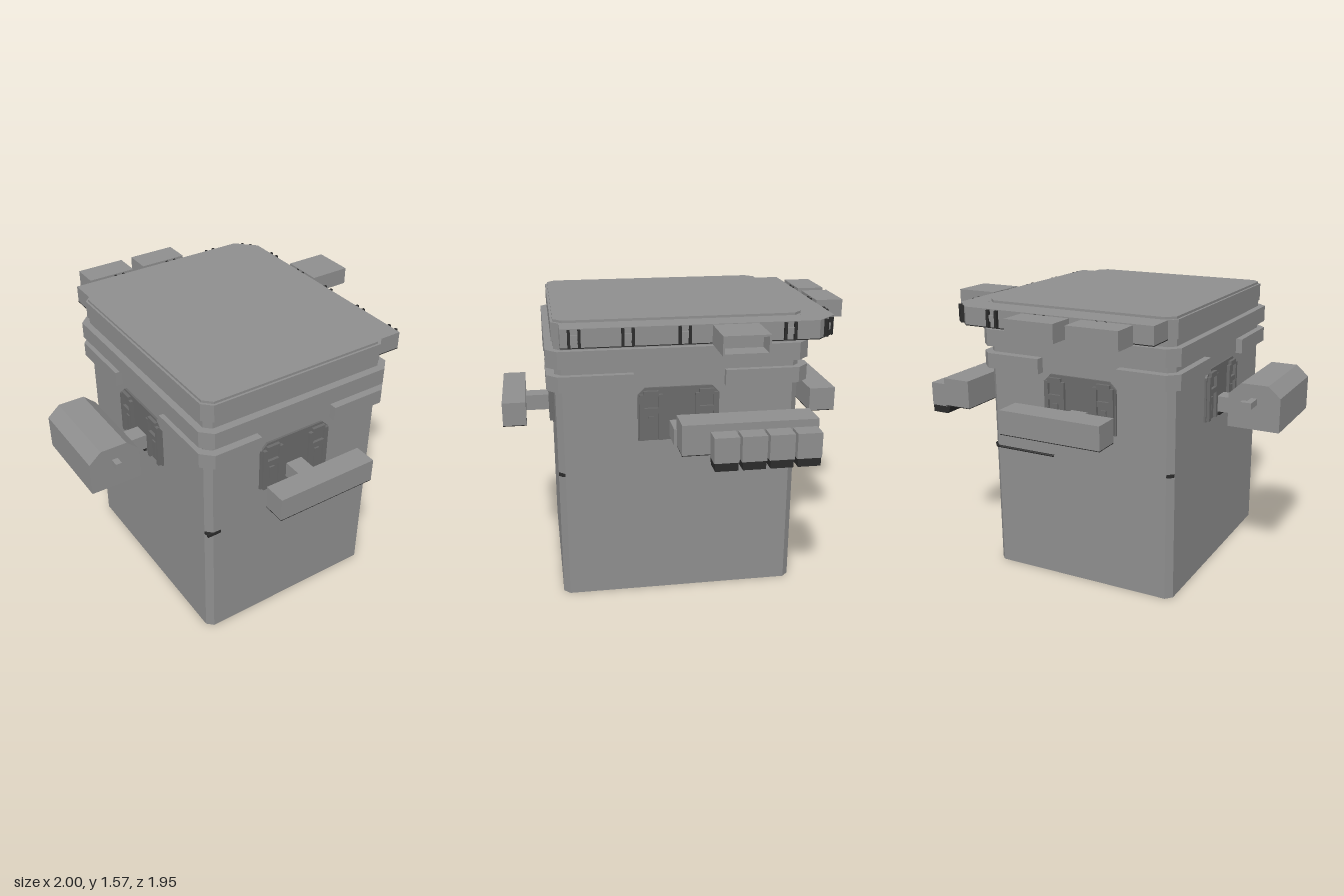
import * as THREE from 'three';

const material = (name, color) => {
  const m = new THREE.MeshStandardMaterial({ color, flatShading: true });
  m.name = name;
  return m;
};
const grey = material('grey', 0x8e8e8e);
const darkGrey = material('dark grey', 0x6a6a6a);
const black = material('black', 0x2a2a2a);

export function createModel() {
  const root = new THREE.Group();
  root.name = 'container';

  const add = (name, geo, mat = grey, parent = root) => {
    const m = new THREE.Mesh(geo, mat);
    m.name = name;
    parent.add(m);
    return m;
  };
  // Box given by its limits on each axis
  const box = (name, x0, x1, y0, y1, z0, z1, parent = root, mat = grey) => {
    const m = add(name, new THREE.BoxGeometry(x1 - x0, y1 - y0, z1 - z0), mat, parent);
    m.position.set((x0 + x1) / 2, (y0 + y1) / 2, (z0 + z1) / 2);
    return m;
  };
  // Chamfered rectangle outline in plan, as [x, z] points
  const outline = (x0, x1, z0, z1, c) => [
    [x0 + c, z0], [x1 - c, z0], [x1, z0 + c], [x1, z1 - c],
    [x1 - c, z1], [x0 + c, z1], [x0, z1 - c], [x0, z0 + c]];
  const path = (pts) => pts.map(([x, z]) => new THREE.Vector2(x, -z));
  // Plan outline raised from y0 to y1, optionally with a hole
  const slab = (name, pts, y0, y1, hole, mat = grey) => {
    const s = new THREE.Shape(path(pts));
    if (hole) s.holes.push(new THREE.Path(path(hole).reverse()));
    const g = new THREE.ExtrudeGeometry(s, { depth: y1 - y0, bevelEnabled: false });
    g.rotateX(-Math.PI / 2).translate(0, y0, 0);
    return add(name, g, mat);
  };
  // Upright profile in x and y, pushed along z
  const prism = (name, pts, depth, mat, parent) => {
    const s = new THREE.Shape(pts.map(([x, y]) => new THREE.Vector2(x, y)));
    return add(name, new THREE.ExtrudeGeometry(s, { depth, bevelEnabled: false }), mat, parent);
  };

  // Hollow bin, open below
  const wall = outline(-0.55, 0.58, -0.63, 0.68, 0.035);
  slab('binWall', wall, 0, 1.5, outline(-0.545, 0.575, -0.625, 0.675, 0.033));

  // Bands around the rim
  slab('upperBand', outline(-0.588, 0.615, -0.68, 0.725, 0.06), 1.325, 1.42, wall);

  // Lower band, one wrap for each corner: outer, wall and chamfer limits
  for (const [xo, xw, xe, sx] of [[-0.588, -0.55, -0.245, -1], [0.615, 0.58, 0.23, 1]]) {
    for (const [zo, zw, ze, sz] of [[-0.68, -0.63, -0.22, -1], [0.725, 0.68, 0.27, 1]]) {
      slab('cornerBand', [[xe, zo], [xo - sx * 0.06, zo], [xo, zo - sz * 0.06], [xo, ze],
        [xw, ze], [xw, zw - sz * 0.035], [xw - sx * 0.035, zw], [xe, zw]], 1.2, 1.285);
    }
  }

  // Lid with a slightly inset top plate
  slab('lid', outline(-0.56, 0.59, -0.65, 0.69, 0.05), 1.46, 1.56);
  slab('lidTop', outline(-0.548, 0.575, -0.638, 0.678, 0.045), 1.56, 1.573);

  // L-shaped ledge along the back and one side, dark underneath
  const ledge = [[-0.52, -0.8], [0.6, -0.8], [0.71, -0.69], [0.71, 0.65],
    [0.57, 0.65], [0.57, -0.63], [-0.52, -0.63]];
  slab('ledge', ledge, 1.463, 1.56);
  slab('ledgeUnderside', ledge, 1.458, 1.463, null, black);

  // Small H-shaped clips on the ledge
  const clip = (x, z, angle) => {
    const g = new THREE.Group();
    g.name = 'ledgeClip';
    for (const s of [-1, 1]) box('clipBar', s * 0.026 - 0.007, s * 0.026 + 0.007, 1.465, 1.557, -0.005, 0.02, g, black);
    box('clipBridge', -0.02, 0.02, 1.495, 1.53, -0.005, 0.012, g);
    g.position.set(x, 0, z);
    g.rotation.y = angle;
    root.add(g);
  };
  [-0.53, -0.25, 0.02, 0.31, 0.58].forEach((z) => clip(0.71, z, Math.PI / 2));
  [-0.23, 0.13, 0.42].forEach((x) => clip(x, -0.8, Math.PI));
  clip(0.655, -0.745, Math.PI * 0.75);

  // Boxes carried by the ledge
  box('backLedgeBox', -0.42, -0.13, 1.46, 1.56, -0.98, -0.825);
  box('backLedgeBox', -0.06, 0.225, 1.46, 1.56, -0.98, -0.825);
  box('sideLedgeBoxBase', 0.725, 0.86, 1.46, 1.56, -0.36, -0.12);
  box('sideLedgeBoxFloor', 0.86, 0.97, 1.46, 1.47, -0.36, -0.12);
  box('sideLedgeBoxTop', 0.86, 0.97, 1.55, 1.56, -0.36, -0.12);
  for (const z of [-0.36, -0.13]) box('sideLedgeBoxCheek', 0.86, 0.97, 1.47, 1.55, z, z + 0.01);

  // Mounting panel with two latches, repeated on every wall
  const mount = (x, z, angle) => {
    const g = new THREE.Group();
    g.name = 'mountingPanel';
    prism('panelPlate', [[-0.22, 0.905], [0.22, 0.905], [0.22, 1.16], [0.18, 1.2],
      [-0.18, 1.2], [-0.22, 1.16]], 0.012, darkGrey, g);
    for (const c of [-0.15, 0.15]) {
      for (const e of [-1, 1]) box('latchRail', c + e * 0.05 - 0.012, c + e * 0.05 + 0.012, 0.91, 1.165, 0, 0.03, g, darkGrey);
      box('latchHead', c - 0.04, c + 0.04, 1.155, 1.185, 0, 0.03, g, darkGrey);
      box('latchBridge', c - 0.04, c + 0.04, 1.06, 1.09, 0, 0.028, g, darkGrey);
      box('latchTongue', c - 0.015, c + 0.015, 0.93, 1.04, 0, 0.022, g, darkGrey);
    }
    box('panelFoot', -0.04, 0.04, 0.9, 0.915, 0, 0.025, g, black);
    // Arm reaching out to the attachment
    box('arm', -0.05, 0.05, 0.925, 1.015, 0.005, 0.165, g);
    g.position.set(x, 0, z);
    g.rotation.y = angle;
    root.add(g);
  };
  mount(-0.005, 0.68, 0);
  mount(-0.005, -0.63, Math.PI);
  mount(0.58, 0.03, Math.PI / 2);
  mount(-0.55, 0.01, -Math.PI / 2);

  // Front and back bars, dark underneath
  for (const [name, z0, z1] of [['frontBar', 0.84, 0.97], ['backBar', -0.94, -0.79]]) {
    box(name, -0.29, 0.31, 0.928, 1.06, z0, z1);
    box(name + 'Underside', -0.29, 0.31, 0.924, 0.928, z0, z1, root, black);
  }

  // Side rack with a row of four holders on dark feet
  box('rack', 0.73, 0.9, 0.928, 1.09, -0.65, 0.065);
  box('rackUnderside', 0.73, 0.9, 0.924, 0.928, -0.65, 0.065, root, black);
  for (let i = 0; i < 4; i++) {
    const z = -0.64 + i * 0.143;
    box('holder', 0.9, 1, 0.915, 1.05, z, z + 0.13);
    const foot = prism('holderFoot', [[0.88, 0.915], [0.89, 0.885], [0.9, 0.872], [1, 0.872], [1, 0.915]], 0.12, black);
    foot.position.z = z + 0.005;
  }

  // Roll housing with a chamfered top, and its crank
  const housing = prism('rollHousing', [[-1, 0.925], [-0.71, 0.925], [-0.71, 1.11], [-0.78, 1.175],
    [-0.93, 1.175], [-1, 1.115]], 0.515);
  housing.position.z = -0.26;
  box('axleEnd', -0.872, -0.838, 1.065, 1.1, 0.25, 0.305);
  box('crankStem', -0.872, -0.838, 1.065, 1.1, -0.35, -0.255);
  box('crankHandle', -0.872, -0.81, 1.065, 1.1, -0.355, -0.32);

  // Inner hoop, showing through at the corners
  slab('hoop', outline(-0.549, 0.579, -0.629, 0.679, 0.02), 0.715, 0.732,
    outline(-0.45, 0.48, -0.53, 0.58, 0.05), black);
  box('hoopTab', -0.55, -0.47, 0.715, 0.732, 0.67, 0.685, root, black);

  // Cord hanging from the side panel and round the back corner
  const cord = new THREE.CurvePath();
  const pts = [[0.582, 0.9, -0.09], [0.582, 0.735, -0.53], [0.582, 0.727, -0.6],
    [0.55, 0.725, -0.632], [0.17, 0.725, -0.632]].map((p) => new THREE.Vector3(...p));
  for (let i = 1; i < pts.length; i++) cord.add(new THREE.LineCurve3(pts[i - 1], pts[i]));
  add('cord', new THREE.TubeGeometry(cord, 50, 0.007, 6), black);

  return root;
}
